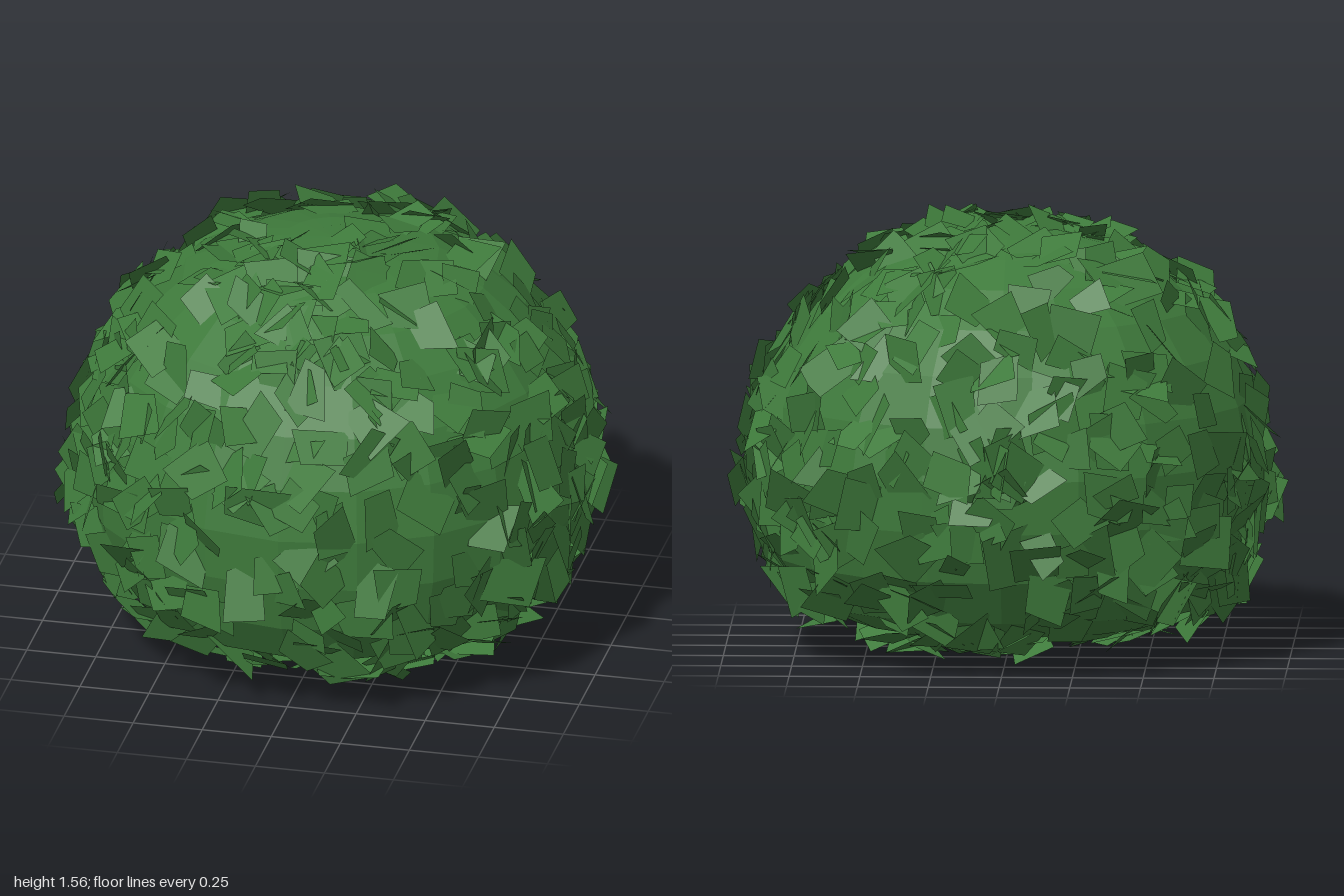
import * as THREE from 'three';

// Seeded random numbers
function makeRandom(seed) {
  return () => {
    seed = (seed * 1664525 + 1013904223) % 4294967296;
    return seed / 4294967296;
  };
}

// Outline of the clipped bush, from the underside to the crown
const outline = new THREE.SplineCurve([
  [0, 0.085], [0.4, 0.09], [0.68, 0.15], [0.825, 0.32], [0.895, 0.6], [0.865, 0.88],
  [0.74, 1.15], [0.52, 1.36], [0.26, 1.465], [0, 1.49],
].map(([x, y]) => new THREE.Vector2(x, y)));

// Solid heart of the bush
function createCore(material) {
  const geometry = new THREE.LatheGeometry(outline.getSpacedPoints(14), 20);
  const core = new THREE.Mesh(geometry, material);
  core.name = 'bushCore';
  return core;
}

// Uneven four-cornered leaves, half sunk into the outline
function createLeaves(material, count) {
  const random = makeRandom(41);
  const spread = (amount) => (random() * 2 - 1) * amount;
  const up = new THREE.Vector3(0, 0, 1);
  const positions = [], indices = [];
  for (let i = 0; i < count; i++) {
    // Evenly cover the surface: keep places in proportion to their radius
    let t;
    do t = random(); while (outline.getPointAt(t).x < random() * 0.9);
    const point = outline.getPointAt(t);
    const tangent = outline.getTangentAt(t);
    const angle = i * 2.39996 + spread(0.15);
    const c = Math.cos(angle), s = Math.sin(angle);
    const normal = new THREE.Vector3(tangent.y * c, -tangent.x, tangent.y * s);
    const centre = new THREE.Vector3(point.x * c, point.y, point.x * s)
      .addScaledVector(normal, random() * 0.035);

    const turn = new THREE.Quaternion().setFromUnitVectors(up, normal);
    const tilt = new THREE.Quaternion().setFromEuler(
      new THREE.Euler(spread(0.6), spread(0.6), random() * Math.PI * 2));
    turn.multiply(tilt);

    const w = 0.065 + random() * 0.03, h = 0.055 + random() * 0.03;
    const first = positions.length / 3;
    for (const [x, y] of [[-1, -1], [1, -1], [1, 1], [-1, 1]]) {
      const corner = new THREE.Vector3(
        x * w + spread(0.03), y * h + spread(0.03), 0);
      corner.applyQuaternion(turn).add(centre);
      positions.push(corner.x, Math.max(corner.y, 0), corner.z);
    }
    indices.push(first, first + 1, first + 2, first, first + 2, first + 3);
  }
  const geometry = new THREE.BufferGeometry();
  geometry.setAttribute('position', new THREE.Float32BufferAttribute(positions, 3));
  geometry.setIndex(indices);
  geometry.computeVertexNormals();
  const leaves = new THREE.Mesh(geometry, material);
  leaves.name = 'leaves';
  return leaves;
}

export function createModel() {
  const green = new THREE.MeshStandardMaterial({
    color: 0x3e7a3b, flatShading: true, side: THREE.DoubleSide,
  });
  const bush = new THREE.Group();
  bush.name = 'bush';
  bush.add(createCore(green), createLeaves(green, 700));
  return bush;
}
